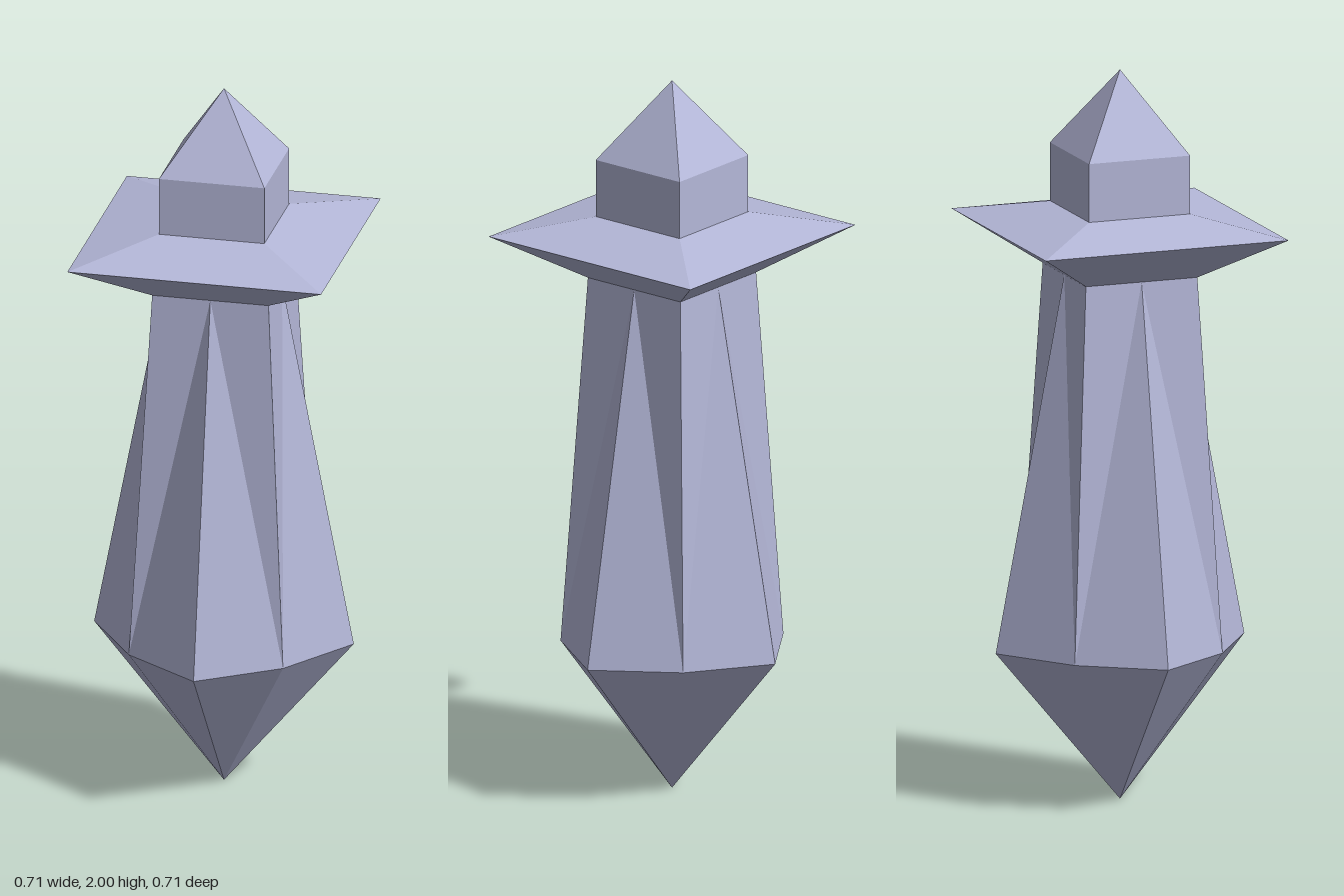
import * as THREE from 'three';

const stone = new THREE.MeshStandardMaterial({ color: 0xb4b7d8, flatShading: true });
stone.name = 'paleLavenderStone';

function addPart(group, name, geometry, y = 0) {
  const mesh = new THREE.Mesh(geometry, stone);
  mesh.name = name;
  mesh.position.y = y;
  group.add(mesh);
}

// Square frustum given by its half widths, standing on y = 0
function squareFrustum(topHalf, bottomHalf, height, open = false) {
  return new THREE.CylinderGeometry(topHalf * Math.SQRT2, bottomHalf * Math.SQRT2, height, 4, 1, open)
    .rotateY(Math.PI / 4)
    .translate(0, height / 2, 0);
}

// Eight points: even ones face the sides, odd ones are the corners
function ring(y, side, corner) {
  return Array.from({ length: 8 }, (_, i) => {
    const a = (i * Math.PI) / 4;
    const r = i % 2 ? corner * Math.SQRT2 : side;
    return [r * Math.sin(a), y, r * Math.cos(a)];
  });
}

function fromTriangles(triangles) {
  const geometry = new THREE.BufferGeometry();
  geometry.setAttribute('position', new THREE.Float32BufferAttribute(triangles.flat(2), 3));
  geometry.computeVertexNormals();
  return geometry;
}

export function createModel() {
  const group = new THREE.Group();
  group.name = 'crystalTower';

  const lower = ring(0.426, 0.357, 0.212);
  const upper = ring(1.45, 0.16, 0.16);
  const shaft = [];
  const point = [];
  for (let i = 0; i < 8; i++) {
    const j = (i + 1) % 8;
    // Each twisted panel folds from the upper side point to the lower corner
    if (i % 2 === 0) shaft.push([lower[i], lower[j], upper[i]], [lower[j], upper[j], upper[i]]);
    else shaft.push([lower[i], lower[j], upper[j]], [lower[i], upper[j], upper[i]]);
    point.push([[0, 0, 0], lower[j], lower[i]]);
  }
  addPart(group, 'shaft', fromTriangles(shaft));
  addPart(group, 'bottomPoint', fromTriangles(point));

  // Flared square brim
  addPart(group, 'brimUnderside', squareFrustum(0.349, 0.16, 0.125, true), 1.45);
  addPart(group, 'brimTop', squareFrustum(0.145, 0.349, 0.047, true), 1.575);

  // Square turret with a pyramid roof
  addPart(group, 'turret', squareFrustum(0.145, 0.145, 0.16, true), 1.622);
  addPart(group, 'roof', squareFrustum(0, 0.145, 0.218, true), 1.782);

  return group;
}
